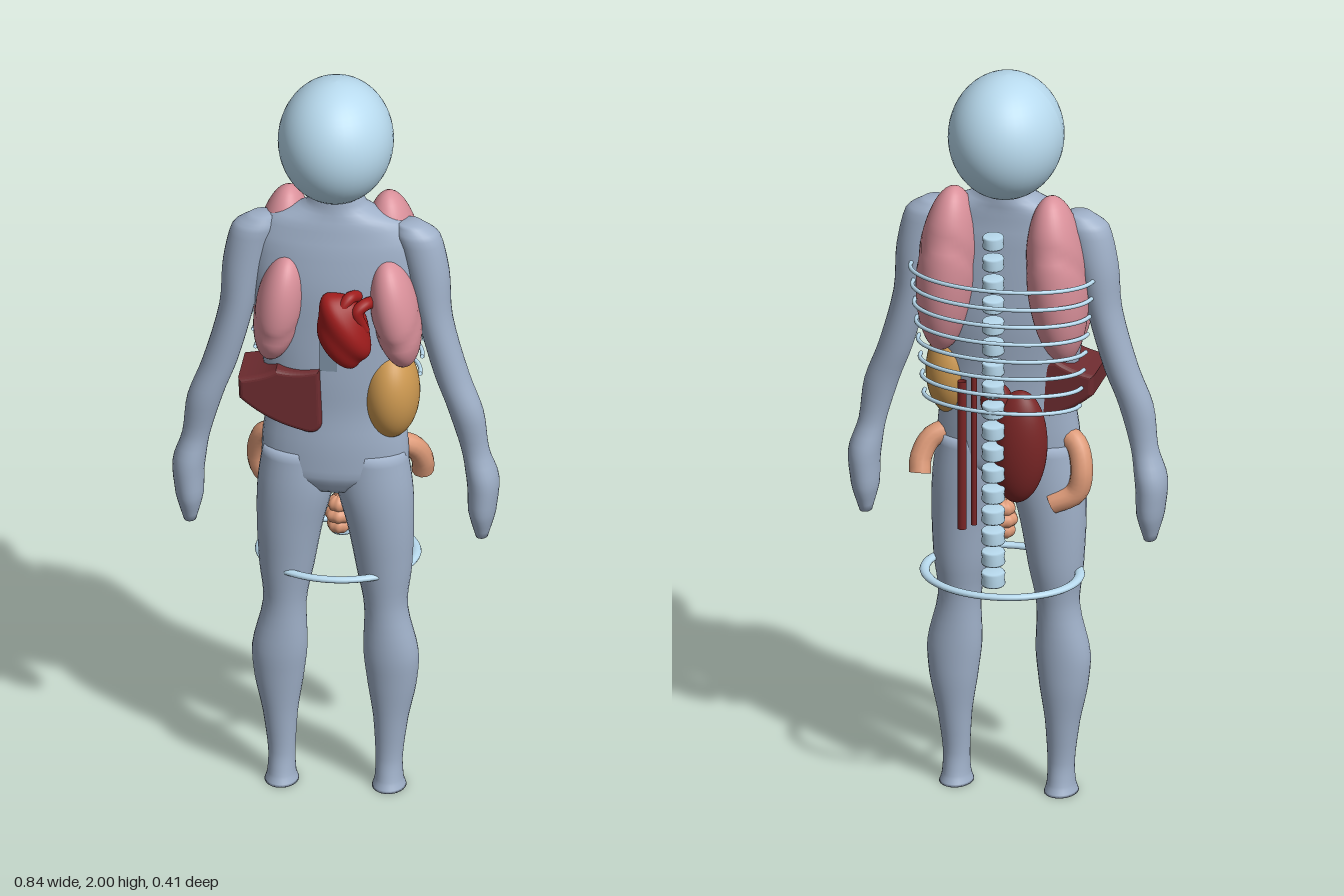
import * as THREE from 'three';

const V = (x, y, z) => new THREE.Vector3(x, y, z);
const C = { bone: 0xb8daee, skin: 0x9fb0c8, lung: 0xd9909a, heart: 0xa01c1c, liver: 0x6e2c30,
  stomach: 0xcc9850, gut: 0xdd9a78, kidney: 0x7a2626, sternum: 0x7f93a6 };

export function createModel() {
  const model = new THREE.Group();

  const add = (name, geometry, color, parent = model) => {
    const mesh = new THREE.Mesh(geometry, new THREE.MeshStandardMaterial({ color, side: THREE.DoubleSide }));
    mesh.name = name;
    parent.add(mesh);
    return mesh;
  };
  const group = (name) => {
    const g = new THREE.Group();
    g.name = name;
    model.add(g);
    return g;
  };

  // Ellipsoid whose surface is pushed in or out by an optional rule
  const blob = (name, color, pos, radii, tilt = 0, rule = null, parent = model) => {
    const geo = new THREE.SphereGeometry(1, 40, 28);
    const p = geo.attributes.position, v = V();
    if (rule) {
      for (let i = 0; i < p.count; i++) {
        v.fromBufferAttribute(p, i);
        v.multiplyScalar(rule(v));
        p.setXYZ(i, v.x, v.y, v.z);
      }
    }
    geo.scale(...radii);
    geo.computeVertexNormals();
    const mesh = add(name, geo, color, parent);
    mesh.position.set(...pos);
    mesh.rotation.z = tilt;
    return mesh;
  };

  // Skin over elliptical sections [x, y, z, rx, rz], smoothed along the length
  const loft = (name, sections, color, side = 1) => {
    const N = 28, M = (sections.length - 1) * 4, pos = [], idx = [];
    const path = new THREE.CatmullRomCurve3(sections.map((s) => V(s[0] * side, s[1], s[2])));
    const size = new THREE.CatmullRomCurve3(sections.map((s) => V(s[3], s[4], 0)));
    for (let i = 0; i <= M; i++) {
      const c = path.getPoint(i / M), r = size.getPoint(i / M);
      for (let j = 0; j < N; j++) {
        const a = (j / N) * Math.PI * 2;
        pos.push(c.x + Math.cos(a) * r.x, c.y, c.z + Math.sin(a) * r.y);
        if (i < M) {
          const k = i * N + j, l = i * N + (j + 1) % N;
          idx.push(k, l, k + N, l, l + N, k + N);
        }
      }
    }
    // end caps
    for (const [row, pt] of [[0, path.getPoint(0)], [M, path.getPoint(1)]]) {
      const n = pos.length / 3;
      pos.push(pt.x, pt.y, pt.z);
      for (let j = 0; j < N; j++) {
        const k = row * N + j, l = row * N + (j + 1) % N;
        idx.push(...(row ? [k, l, n] : [l, k, n]));
      }
    }
    // sections run downward, so turn the faces outward
    if (sections[0][1] < sections[1][1]) {
      for (let i = 0; i < idx.length; i += 3) [idx[i], idx[i + 1]] = [idx[i + 1], idx[i]];
    }
    const geo = new THREE.BufferGeometry();
    geo.setAttribute('position', new THREE.Float32BufferAttribute(pos, 3));
    geo.setIndex(idx);
    geo.computeVertexNormals();
    return add(name, geo, color);
  };

  const tube = (name, pts, r, color, parent) => add(name,
    new THREE.TubeGeometry(new THREE.CatmullRomCurve3(pts.map((p) => V(...p))), 48, r, 12), color, parent);

  // Head and body
  blob('head', C.bone, [-0.005, 1.833, 0.008], [0.148, 0.167, 0.166]);
  loft('torso', [
    [0, 1.72, 0.03, 0.055, 0.055], [0, 1.665, 0.03, 0.08, 0.06], [0, 1.625, 0.035, 0.17, 0.065],
    [0, 1.56, 0.04, 0.21, 0.075], [0, 1.45, 0.045, 0.215, 0.085], [0, 1.32, 0.045, 0.205, 0.088],
    [0, 1.2, 0.05, 0.185, 0.085], [0, 1.1, 0.05, 0.178, 0.083], [0, 1.0, 0.055, 0.188, 0.085],
    [0, 0.92, 0.057, 0.19, 0.083], [0, 0.87, 0.057, 0.1, 0.06],
  ], C.skin);
  for (const [label, s] of [['left', 1], ['right', -1]]) {
    loft(label + 'Arm', [
      [0.19, 1.625, 0.04, 0.03, 0.03], [0.21, 1.59, 0.04, 0.058, 0.05], [0.235, 1.49, 0.04, 0.056, 0.056],
      [0.255, 1.36, 0.045, 0.045, 0.052], [0.298, 1.2, 0.05, 0.045, 0.045], [0.335, 1.1, 0.055, 0.045, 0.042],
      [0.358, 0.99, 0.05, 0.036, 0.034], [0.378, 0.9, 0.045, 0.042, 0.053], [0.376, 0.81, 0.045, 0.036, 0.05],
      [0.375, 0.735, 0.045, 0.016, 0.022],
    ], C.skin, s);
    loft(label + 'Leg', [
      [0.095, 0.98, 0.057, 0.09, 0.075], [0.102, 0.87, 0.057, 0.098, 0.082], [0.117, 0.75, 0.055, 0.085, 0.078],
      [0.125, 0.63, 0.052, 0.071, 0.069], [0.13, 0.52, 0.055, 0.056, 0.056], [0.143, 0.39, 0.055, 0.071, 0.057],
      [0.145, 0.3, 0.052, 0.063, 0.052], [0.142, 0.2, 0.052, 0.045, 0.042], [0.138, 0.09, 0.054, 0.035, 0.035],
      [0.138, 0.03, 0.055, 0.037, 0.045], [0.138, 0.005, 0.055, 0.044, 0.057],
    ], C.skin, s);

    // Lungs: a tall rear lobe and a shorter front lobe with shallow fissures
    const fissure = (v) => 1 - 0.05 * Math.exp(-Math.pow((v.y + 0.5 * v.z) * 9, 2));
    blob(label + 'LungRear', C.lung, [s * 0.145, 1.455, -0.01], [0.078, 0.228, 0.1], s * 0.08, fissure);
    blob(label + 'LungFront', C.lung, [s * (s > 0 ? 0.16 : 0.14), 1.387, 0.09],
      [0.062, 0.152, 0.09], s * 0.17, fissure);
  }

  // Heart with shallow muscle grooves and vessel stubs
  const heart = group('heart');
  blob('heartMuscle', C.heart, [0.037, 1.345, 0.145], [0.066, 0.107, 0.056], 0.25,
    (v) => (1 + 0.05 * Math.sin(5 * v.x + 4 * v.y)) * (1 + 0.14 * v.y), heart);
  for (const [x, top] of [[0, 1.45], [0.035, 1.465], [0.075, 1.45]]) {
    tube('heartVessel', [[x + 0.01, 1.36, 0.15], [x - 0.005, 1.42, 0.165], [x + 0.012, top - 0.015, 0.15],
      [x + 0.03, top - 0.02, 0.12]], 0.016, C.heart, heart);
  }

  // Liver: wedge, tall near the middle
  const wedge = new THREE.Shape();
  wedge.moveTo(-0.228, 1.185);
  wedge.quadraticCurveTo(-0.17, 1.195, -0.14, 1.215);
  wedge.quadraticCurveTo(-0.09, 1.205, -0.04, 1.22);
  wedge.lineTo(-0.036, 1.08);
  wedge.quadraticCurveTo(-0.04, 1.055, -0.07, 1.065);
  wedge.quadraticCurveTo(-0.16, 1.085, -0.226, 1.145);
  wedge.closePath();
  const liver = new THREE.ExtrudeGeometry(wedge, { depth: 0.13, bevelEnabled: true, bevelSize: 0.012,
    bevelThickness: 0.015, bevelSegments: 4, curveSegments: 10 });
  add('liver', liver, C.liver);

  // Stomach
  blob('stomach', C.stomach, [0.145, 1.145, 0.062], [0.073, 0.125, 0.093], -0.06, (v) => 1 - 0.06 * v.x * v.y);

  // Large intestine and rectum
  tube('largeIntestine', [[-0.13, 0.83, -0.01], [-0.19, 0.86, 0], [-0.205, 0.92, 0.005], [-0.18, 0.99, 0.03],
    [-0.09, 1.0, 0.06], [0.09, 0.99, 0.06], [0.19, 0.97, 0.02], [0.216, 0.92, -0.005], [0.215, 0.88, -0.02]],
  0.029, C.gut);
  const rectum = group('rectum');
  [[0.79, 0.03], [0.76, 0.036], [0.73, 0.03]].forEach(([y, r]) =>
    blob('rectumFold', C.gut, [0.005, y, 0.02], [r, 0.024, r], 0,
      (v) => 1 + 0.04 * Math.cos(8 * Math.atan2(v.z, v.x)), rectum));

  // Kidney, gland above it and the long vessels beside the spine
  blob('kidney', C.kidney, [-0.058, 1.005, -0.07], [0.075, 0.155, 0.058], 0.05,
    (v) => 1 - 0.22 * Math.exp(-8 * ((v.x - 1) ** 2 + v.y * v.y)));
  blob('kidneyGland', C.kidney, [0.0, 1.125, -0.07], [0.042, 0.05, 0.035]);
  for (const [x, z, r] of [[0.085, -0.092, 0.012], [0.062, -0.06, 0.008]]) {
    tube('longVessel', [[x, 1.18, z], [x, 0.97, z], [x, 0.77, z]], r, C.kidney);
  }

  // Spine: stacked waisted drums
  const spine = group('spine');
  const drum = [[0, -1], [0.9, -1], [1, -0.75], [0.92, 0], [1, 0.75], [0.9, 1], [0, 1]]
    .map(([r, y]) => new THREE.Vector2(r * 0.032, y * 0.019));
  for (let i = 0; i < 17; i++) {
    const t = i / 16;
    const v = add('vertebra', new THREE.LatheGeometry(drum, 20), C.bone, spine);
    v.position.set(-0.005, 1.59 - 0.935 * t, -0.122);
    v.scale.set(0.88 + 0.1 * t, 0.85 + 0.15 * t, 0.92 + 0.1 * t);
  }

  // Ribs: rear half hoops, slightly smaller toward the waist
  const ribs = group('ribs');
  for (let i = 0; i < 8; i++) {
    const pts = [];
    for (let k = 0; k <= 16; k++) {
      const a = Math.PI * (k / 16);
      pts.push([Math.cos(a) * (0.24 - 0.005 * i), 1.475 - 0.05 * i - 0.015 * (1 - Math.sin(a)),
        -0.01 - Math.sin(a) * (0.165 - 0.004 * i)]);
    }
    tube('rib', pts, 0.0055, C.bone, ribs);
  }

  // Breastbone and pelvic ring
  add('breastbone', new THREE.BoxGeometry(0.045, 0.1, 0.02), C.sternum).position.set(-0.008, 1.28, 0.127);
  const ring = add('pelvicRing', new THREE.TorusGeometry(0.2, 0.013, 12, 64), C.bone);
  ring.rotation.x = Math.PI / 2;
  ring.scale.set(1, 0.835, 0.65);
  ring.position.set(-0.003, 0.632, -0.024);

  return model;
}
